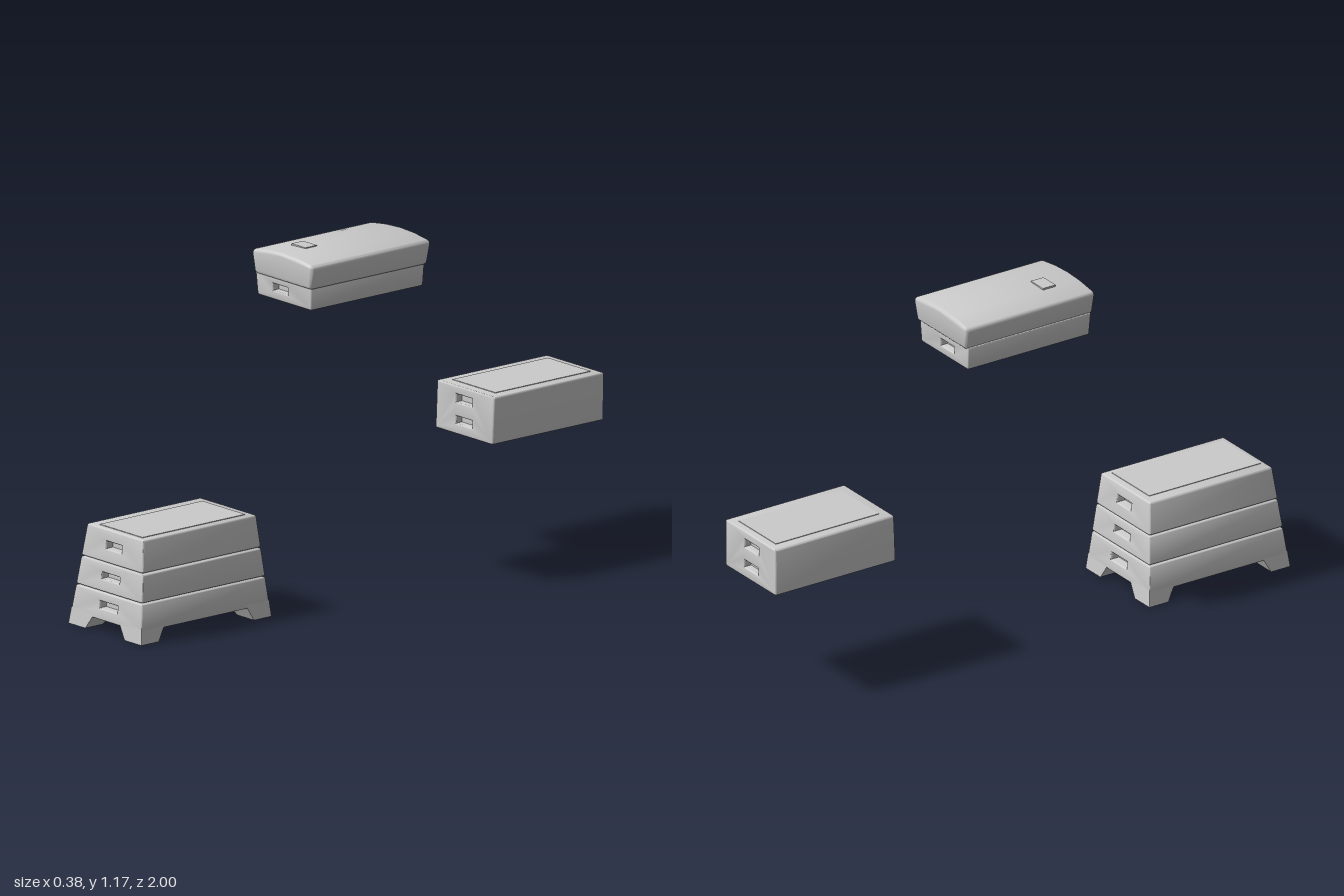
import * as THREE from 'three';
import { toCreasedNormals } from 'three/addons/utils/BufferGeometryUtils.js';

const material = new THREE.MeshStandardMaterial({ color: 0xcccccc });
const lerp = THREE.MathUtils.lerp;

function addMesh(group, name, geometry) {
  const mesh = new THREE.Mesh(geometry, material);
  mesh.name = name;
  group.add(mesh);
  return mesh;
}

// Axis-aligned block given by its limits on each axis
function addBlock(group, name, [x0, x1], [y0, y1], [z0, z1]) {
  const mesh = addMesh(group, name, new THREE.BoxGeometry(x1 - x0, y1 - y0, z1 - z0));
  mesh.position.set((x0 + x1) / 2, (y0 + y1) / 2, (z0 + z1) / 2);
}

// Closed outline with rounded corners, counter-clockwise
function roundedShape(points, r) {
  const shape = new THREE.Shape();
  const p = points.map(([x, y]) => new THREE.Vector2(x, y));
  p.forEach((c, i) => {
    const prev = p[(i + p.length - 1) % p.length], next = p[(i + 1) % p.length];
    const a = prev.clone().sub(c).setLength(r).add(c);
    const b = next.clone().sub(c).setLength(r).add(c);
    if (i === 0) shape.moveTo(a.x, a.y); else shape.lineTo(a.x, a.y);
    shape.quadraticCurveTo(c.x, c.y, b.x, b.y);
  });
  shape.closePath();
  return shape;
}

// Profile extruded along z, its two ends leaning linearly from bottom to top
function taperedExtrude(shape, [y0, y1], zBottom, zTop, bevel) {
  const geo = new THREE.ExtrudeGeometry(shape, {
    depth: 1 - 2 * bevel, curveSegments: 4, bevelEnabled: true, bevelThickness: bevel,
    bevelSize: bevel, bevelOffset: -bevel, bevelSegments: 3,
  });
  const pos = geo.attributes.position;
  for (let i = 0; i < pos.count; i++) {
    const t = (pos.getY(i) - y0) / (y1 - y0);
    const back = lerp(zBottom[0], zTop[0], t), front = lerp(zBottom[1], zTop[1], t);
    // keep the bevel true to size while the straight run is stretched
    const z = pos.getZ(i), run = 1 - 2 * bevel;
    const zz = z < 0.001 ? back + bevel + z
      : z > run - 0.001 ? front - bevel + (z - run)
        : lerp(back + bevel, front - bevel, z / run);
    pos.setZ(i, zz);
  }
  geo.computeVertexNormals();
  return toCreasedNormals(geo, 0.6);
}

// Box section with grip slots recessed into both ends
function addTier(group, name, y, xBottom, xTop, zBottom, zTop, slots) {
  const shape = roundedShape([
    [xBottom[0], y[0]], [xBottom[1], y[0]], [xTop[1], y[1]], [xTop[0], y[1]],
  ], 0.008);
  for (const [x0, x1, y0, y1] of slots) {
    const hole = new THREE.Path();
    hole.moveTo(x0, y0).lineTo(x0, y1).lineTo(x1, y1).lineTo(x1, y0).closePath();
    shape.holes.push(hole);
    const inset = 0.025;
    addBlock(group, name + 'SlotBack', [x0 - 0.002, x1 + 0.002], [y0 - 0.002, y1 + 0.002],
      [Math.max(zBottom[0], zTop[0]) + inset, Math.min(zBottom[1], zTop[1]) - inset]);
  }
  addMesh(group, name, taperedExtrude(shape, y, zBottom, zTop, 0.005));
}

// Lower stack: three tapering tiers on four corner feet
function lowerStack() {
  const group = new THREE.Group();
  group.name = 'lowerStack';
  const xAt = (y) => [-0.19 + 0.165 * y, 0.178 - 0.08 * y];
  const zAt = (y) => [0.442 + 0.119 * y, 1 - 0.093 * y];
  const tiers = [
    ['baseTier', [0.042, 0.134], [-0.043, 0.046, 0.08, 0.104]],
    ['middleTier', [0.137, 0.232], [-0.043, 0.046, 0.178, 0.2]],
    ['upperTier', [0.235, 0.345], [-0.032, 0.046, 0.28, 0.305]],
  ];
  for (const [name, y, slot] of tiers) {
    addTier(group, name, y, xAt(y[0]), xAt(y[1]), zAt(y[0]), zAt(y[1]), [slot]);
  }

  // Feet: outer sides follow the taper, inner sides flare out upwards
  const h = 0.055;
  for (const sx of [0, 1]) for (const sz of [0, 1]) {
    const geo = new THREE.BoxGeometry(1, 1, 1);
    const pos = geo.attributes.position;
    for (let i = 0; i < pos.count; i++) {
      const y = pos.getY(i) > 0 ? h : 0;
      const width = y ? 0.115 : 0.085, depth = y ? 0.1 : 0.075;
      const outerX = (pos.getX(i) > 0) === (sx === 1);
      const outerZ = (pos.getZ(i) > 0) === (sz === 1);
      pos.setXYZ(i,
        xAt(y)[sx] + (outerX ? 0 : (sx ? -width : width)), y,
        zAt(y)[sz] + (outerZ ? 0 : (sz ? -depth : depth)));
    }
    geo.computeVertexNormals();
    addMesh(group, 'foot', geo);
  }
  addBlock(group, 'topPanel', [-0.09, 0.125], [0.34, 0.347], [0.51, 0.95]);
  return group;
}

// Middle section: plain double-height box with two locating bars beneath
function middleSection() {
  const group = new THREE.Group();
  group.name = 'middleSection';
  addTier(group, 'box', [0.403, 0.566], [-0.133, 0.156], [-0.127, 0.163],
    [-1, -0.524], [-0.997, -0.526],
    [[-0.03, 0.05, 0.438, 0.463], [-0.03, 0.05, 0.51, 0.537]]);
  addBlock(group, 'topPanel', [-0.09, 0.125], [0.56, 0.568], [-0.97, -0.562]);
  for (const z of [-0.655, -0.867]) {
    addBlock(group, 'locatingBar', [-0.06, 0.08], [0.386, 0.408], [z - 0.026, z + 0.026]);
  }
  return group;
}

// Top section: shallow box with a padded, crowned cushion
function topSection() {
  const group = new THREE.Group();
  group.name = 'topSection';
  addTier(group, 'box', [1, 1.082], [-0.105, 0.166], [-0.111, 0.17],
    [-0.218, 0.262], [-0.222, 0.266], [[-0.025, 0.05, 1.03, 1.054]]);

  const s = new THREE.Shape();
  s.moveTo(-0.095, 1.074).lineTo(0.168, 1.074);
  s.quadraticCurveTo(0.177, 1.074, 0.179, 1.084).lineTo(0.188, 1.14);
  s.quadraticCurveTo(0.19, 1.155, 0.175, 1.158);
  s.quadraticCurveTo(0.036, 1.182, -0.1, 1.158);
  s.quadraticCurveTo(-0.117, 1.155, -0.116, 1.14).lineTo(-0.108, 1.084);
  s.quadraticCurveTo(-0.105, 1.074, -0.095, 1.074);
  addMesh(group, 'cushion',
    taperedExtrude(s, [1.074, 1.17], [-0.228, 0.275], [-0.236, 0.28], 0.012));
  addBlock(group, 'cushionTab', [-0.03, 0.04], [1.16, 1.173], [0.13, 0.18]);

  for (const z of [0.073, -0.03]) {
    addBlock(group, 'locatingBar', [-0.047, 0.1], [0.981, 1.005], [z - 0.027, z + 0.027]);
  }
  return group;
}

export function createModel() {
  const model = new THREE.Group();
  model.name = 'vaultingBox';
  model.add(lowerStack(), middleSection(), topSection());
  return model;
}
